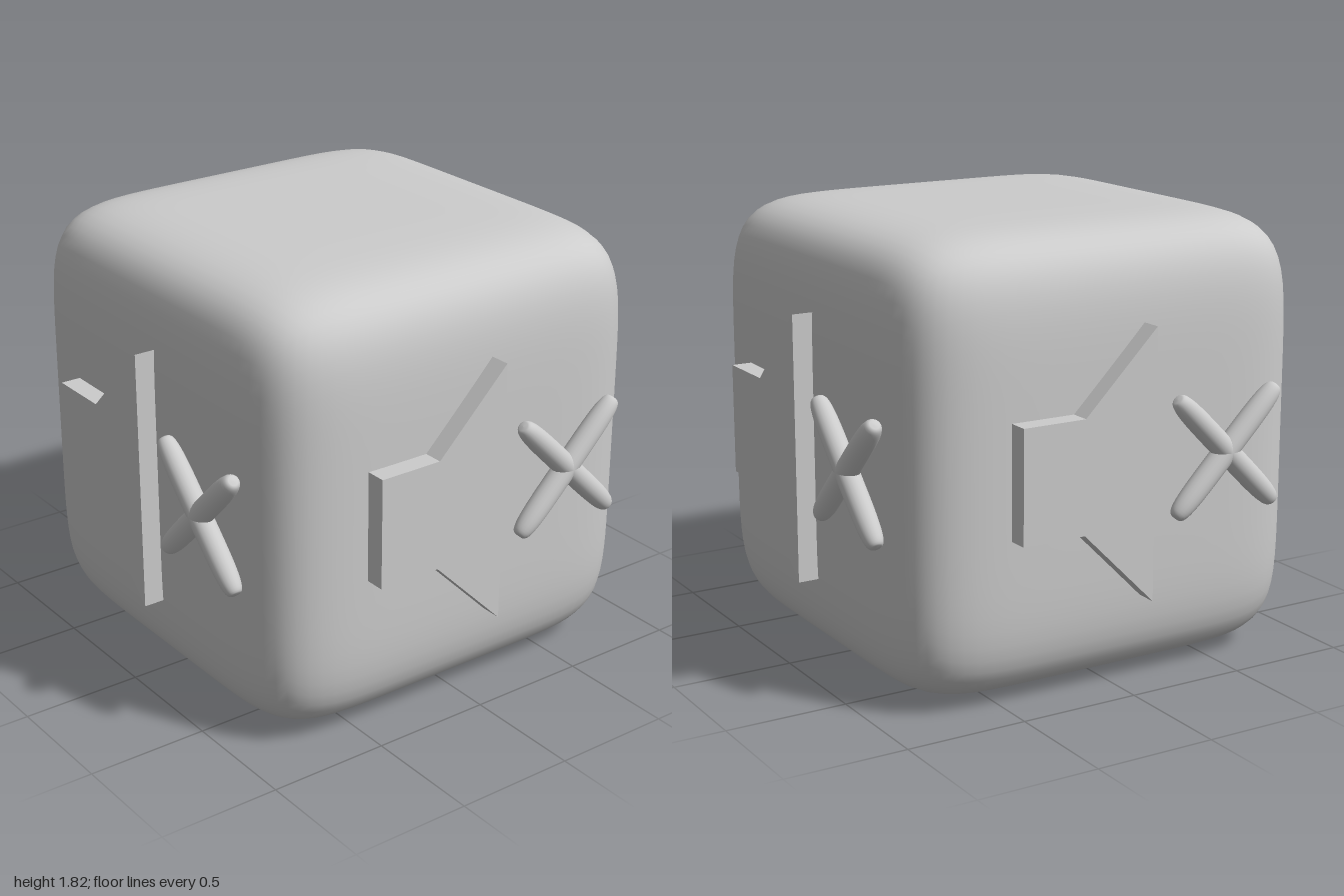
import * as THREE from 'three';

const HALF = 0.908;   // half size of the cube
const POWER = 7;      // squareness of its rounded edges

// Soft cube: box vertices pushed onto a superellipsoid, with exact normals
function softCube() {
  const geo = new THREE.BoxGeometry(2, 2, 2, 28, 28, 28);
  const pos = geo.attributes.position;
  const normal = geo.attributes.normal;
  const v = new THREE.Vector3();
  const slope = (t) => Math.sign(t) * Math.abs(t) ** (POWER - 1);
  for (let i = 0; i < pos.count; i++) {
    v.fromBufferAttribute(pos, i);
    const len = (Math.abs(v.x) ** POWER + Math.abs(v.y) ** POWER + Math.abs(v.z) ** POWER) ** (1 / POWER);
    v.divideScalar(len);
    pos.setXYZ(i, v.x * HALF, v.y * HALF, v.z * HALF);
    v.set(slope(v.x), slope(v.y), slope(v.z)).normalize();
    normal.setXYZ(i, v.x, v.y, v.z);
  }
  return geo;
}

// Raised horn-shaped plate
function hornPlate() {
  const shape = new THREE.Shape([
    [-0.5, -0.227], [-0.23, -0.227], [0.087, -0.543],
    [0.087, 0.543], [-0.23, 0.227], [-0.5, 0.227],
  ].map(([x, y]) => new THREE.Vector2(x, y)));
  return new THREE.ExtrudeGeometry(shape, { depth: 0.11, bevelEnabled: false });
}

// Rounded bar with blunt ends, lying along y
function softBar(radius, halfLength) {
  const profile = [];
  const steps = 24;
  for (let i = 0; i <= steps; i++) {
    const a = -Math.PI / 2 + (i / steps) * Math.PI;
    const r = Math.max(0, Math.cos(a)) ** 0.45 * radius;
    const y = Math.sign(Math.sin(a)) * Math.abs(Math.sin(a)) ** 0.45 * halfLength;
    profile.push(new THREE.Vector2(i % steps === 0 ? 0 : r, y));
  }
  return new THREE.LatheGeometry(profile, 20);
}

export function createModel() {
  const model = new THREE.Group();
  model.name = 'muteCube';
  const grey = new THREE.MeshStandardMaterial({ color: 0xcccccc });
  grey.name = 'light grey';

  const add = (parent, name, geometry) => {
    const mesh = new THREE.Mesh(geometry, grey);
    mesh.name = name;
    parent.add(mesh);
    return mesh;
  };

  add(model, 'cubeBody', softCube()).position.y = 0.91;

  // The same symbol on all four upright sides
  const horn = hornPlate();
  const bar = softBar(0.048, 0.335);
  ['front', 'left', 'back', 'right'].forEach((side, i) => {
    const symbol = new THREE.Group();
    symbol.name = side + 'Symbol';
    symbol.position.y = 0.913;
    symbol.rotation.y = (i * Math.PI) / 2;
    add(symbol, 'hornPlate', horn).position.z = 0.88;
    for (const turn of [-1, 1]) {
      const arm = add(symbol, turn < 0 ? 'crossRisingArm' : 'crossFallingArm', bar);
      arm.position.set(0.45, 0, 0.952);
      arm.rotation.z = (turn * Math.PI) / 4;
    }
    model.add(symbol);
  });

  return model;
}
